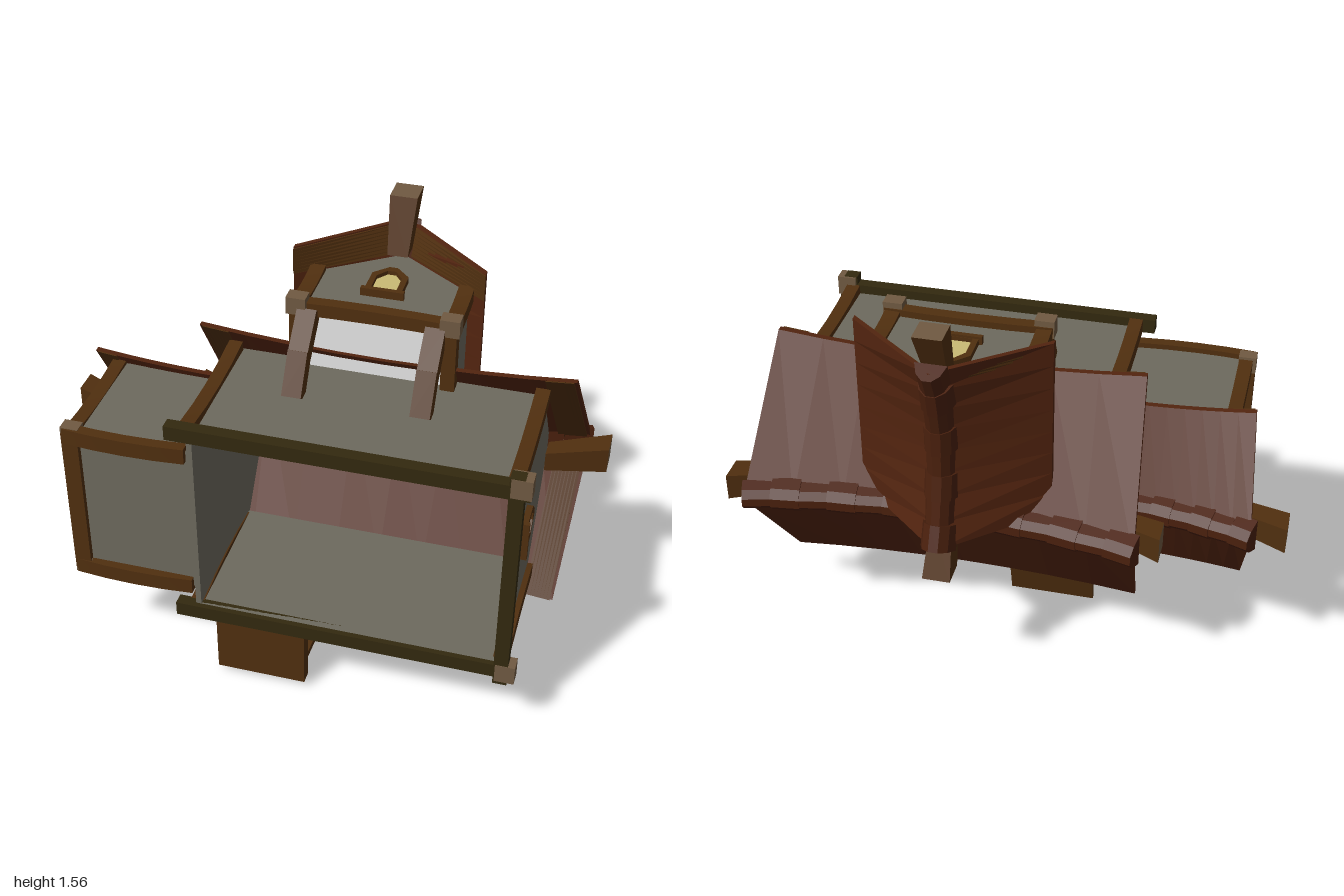
import * as THREE from 'three';

const mat = (name, color, side = THREE.FrontSide) => {
  const m = new THREE.MeshStandardMaterial({ color, side });
  m.name = name;
  return m;
};

// The house is built upright (y up, z depth) and finally laid on its back.
export function createModel() {
  const plaster = mat('plaster', 0x6d6a5e, THREE.DoubleSide);
  const timber = mat('timber', 0x502f0f);
  const darkTimber = mat('dark timber', 0x33290f);
  const tile = mat('roof tile', 0x52240f);
  const capTile = mat('ridge tile', 0x4a200d);
  const block = mat('corner block', 0x705a42);
  const pale = mat('pale floor', 0xf0f0f0);
  const glass = mat('window glass', 0xcabb75);

  const model = new THREE.Group();
  const house = new THREE.Group();
  house.name = 'house';
  house.rotation.x = -Math.PI / 2;
  model.add(house);

  const add = (name, geo, material, parent = house) => {
    const m = new THREE.Mesh(geo, material);
    m.name = name;
    parent.add(m);
    return m;
  };
  const box = (name, material, x, y, z, w, h, d) =>
    add(name, new THREE.BoxGeometry(w, h, d).translate(x, y, z), material);

  // Beam between two points, with optional sideways bow
  const up = new THREE.Vector3(0, 1, 0);
  const beam = (name, material, a, b, w, h, bow = 0) => {
    const p = new THREE.Vector3(...a), q = new THREE.Vector3(...b), len = p.distanceTo(q);
    const g = new THREE.BoxGeometry(w, h, len, 1, 1, bow ? 4 : 1);
    const pos = g.attributes.position;
    for (let i = 0; i < pos.count; i++) {
      const t = pos.getZ(i) / len * 2;
      pos.setY(i, pos.getY(i) + bow * (1 - t * t));
    }
    g.computeVertexNormals();
    const m = add(name, g, material);
    m.position.copy(p).add(q).multiplyScalar(0.5);
    m.quaternion.setFromRotationMatrix(new THREE.Matrix4().lookAt(q, p, up));
  };

  const shapeOf = pts => new THREE.Shape(pts.map(p => new THREE.Vector2(...p)));
  const extrude = (pts, depth) =>
    new THREE.ExtrudeGeometry(shapeOf(pts), { depth, bevelEnabled: false });
  // Prism along x from a (depth, height) outline
  const prismX = (pts, x0, x1) => extrude(pts, x1 - x0).rotateY(-Math.PI / 2).translate(x1, 0, 0);

  // Sagging gable roof lofted along x
  const roof = (name, material, r, t0, t1, drop = 0, parent = house) => {
    const rings = [], n = 8, th = 0.022, v = [];
    for (let i = 0; i <= n; i++) {
      const t = t0 + (t1 - t0) * i / n;
      const w = r.w + r.dw * t * t, h = r.h + r.dh * t * t - drop, e = r.e - drop;
      const xe = r.c + t * r.le, xr = r.c + t * r.lr;
      rings.push([[xe, e, r.z - w], [xr, h, r.z], [xe, e, r.z + w],
        [xe, e - th, r.z + w], [xr, h - th, r.z], [xe, e - th, r.z - w]]);
    }
    const quad = (a, b, c, d) => v.push(...a, ...b, ...c, ...a, ...c, ...d);
    for (let i = 0; i < n; i++) for (let j = 0; j < 6; j++) {
      const k = (j + 1) % 6;
      quad(rings[i][j], rings[i][k], rings[i + 1][k], rings[i + 1][j]);
    }
    const s = rings[0], f = rings[n];
    quad(s[5], s[4], s[1], s[0]); quad(s[4], s[3], s[2], s[1]);
    quad(f[0], f[1], f[4], f[5]); quad(f[1], f[2], f[3], f[4]);
    const g = new THREE.BufferGeometry();
    g.setAttribute('position', new THREE.Float32BufferAttribute(v, 3));
    g.computeVertexNormals();
    add(name, g, material, parent);
  };

  // Overlapping caps that follow the ridge
  const ridge = (r, t0, t1, n, parent = house) => {
    const len = (t1 - t0) * r.lr / n;
    for (let i = 0; i < n; i++) {
      const t = t0 + (t1 - t0) * (i + 0.5) / n, s = i % 2 ? 1 : 1.15;
      const pts = [[-0.055, -0.042], [0.055, -0.042], [0.04, 0.0], [0.015, 0.024], [-0.015, 0.024], [-0.04, 0.0]];
      const m = add('ridgeTile', prismX(pts.map(p => [p[0] * s, p[1] * s]), -len * 0.52, len * 0.52), capTile, parent);
      m.position.set(r.c + t * r.lr, r.h + r.dh * t * t, r.z);
      m.rotation.z = Math.atan(2 * r.dh * t / r.lr) + (i % 2 ? 0.05 : -0.05);
    }
  };

  // Upward sheared ridge pole, flaring to a pale upright end face
  const pole = (x, z, len, y0, y1, turn) => {
    const g = new THREE.BoxGeometry(len, 0.1, 0.1).translate(len / 2, 0, 0);
    const pos = g.attributes.position;
    for (let i = 0; i < pos.count; i++) {
      const outer = pos.getX(i) > len / 2, s = outer ? 1 : 0.75;
      pos.setY(i, pos.getY(i) * s + (outer ? y1 : y0));
      pos.setZ(i, pos.getZ(i) * s);
    }
    g.computeVertexNormals();
    const m = add('ridgePole', g, [block, timber, timber, timber, timber, timber]);
    m.position.set(x, 0, z);
    m.rotation.y = turn;
  };

  // Pointed window, facing +z before turning
  const addWindow = (x, y, z, turn) => {
    const g = new THREE.Group();
    g.name = 'window';
    const arch = (w, b, s, t) => [[-w, b], [w, b], [w, s], [0.015, t], [-0.015, t], [-w, s]];
    const frame = shapeOf(arch(0.066, -0.08, 0.04, 0.092));
    frame.holes.push(new THREE.Path(shapeOf(arch(0.045, -0.065, 0.025, 0.065)).getPoints()));
    add('windowFrame', new THREE.ExtrudeGeometry(frame, { depth: 0.022, bevelEnabled: false }), timber, g);
    add('windowSill', new THREE.BoxGeometry(0.155, 0.018, 0.032).translate(0, -0.076, 0.014), timber, g);
    add('windowGlass', extrude(arch(0.048, -0.068, 0.028, 0.068), 0.007), glass, g);
    g.position.set(x, y, z);
    g.rotation.y = turn;
    house.add(g);
  };

  // Main hall: two gables and two long walls, open underneath
  const gable = [[0.32, -0.52], [1.08, -0.52], [1.08, 0.035], [0.7, 0.325], [0.32, 0.035]];
  add('rightGable', prismX(gable, 0.75, 0.77), plaster);
  add('leftGable', prismX(gable, -0.34, -0.32), plaster);
  for (const z of [0.325, 1.075]) box('longWall', plaster, 0.215, -0.245, z, 1.1, 0.55, 0.015);
  const mainRoof = { c: 0.21, le: 0.67, lr: 0.71, e: 0, w: 0.455, dw: 0.035, h: 0.3, dh: 0.08, z: 0.7 };
  roof('mainRoof', tile, mainRoof, -1, 1);
  roof('eaveLining', timber, mainRoof, 0.84, 0.985, 0.006);
  roof('eaveLining', timber, mainRoof, -0.985, -0.84, 0.006);
  ridge(mainRoof, -1, 1, 14);
  pole(0.78, 0.7, 0.22, 0.2, 0.28, 0);
  pole(-0.36, 0.7, 0.22, 0.2, 0.28, Math.PI);

  // Main hall frame
  for (const z of [0.305, 1.09]) {
    beam('sillBeam', darkTimber, [-0.41, -0.517, z], [0.82, -0.517, z], 0.055, 0.045);
    box('cornerBlock', block, 0.79, -0.517, z < 0.7 ? 0.3 : 1.11, 0.07, 0.055, 0.075);
    for (const x of [-0.34, 0.765])
      beam('cornerPost', timber, [x, -0.5, z], [x, 0.02, z], 0.05, 0.055, z < 0.7 ? -0.018 : 0.018);
  }
  beam('endSill', darkTimber, [0.775, -0.52, 0.25], [0.775, -0.52, 1.15], 0.05, 0.045);
  addWindow(0.77, -0.22, 0.7, Math.PI / 2);

  // Side wing with its own lower roof
  const wing = top => [[0.4, -0.505], [1.0, -0.505], [1.0, -0.06], [0.7, top], [0.4, -0.06]];
  add('wingBody', prismX(wing(0.09), -0.75, -0.34), plaster);
  add('wingGable', prismX(wing(0.145), -0.77, -0.75), plaster);
  const wingRoof = { c: -0.34, le: 0.5, lr: 0.54, e: -0.065, w: 0.325, dw: 0.03, h: 0.115, dh: 0.09, z: 0.7 };
  roof('wingRoof', tile, wingRoof, -1, 0);
  roof('wingEaveLining', timber, wingRoof, -0.985, -0.84, 0.006);
  ridge(wingRoof, -1, -0.2, 6);
  pole(-0.78, 0.7, 0.22, 0.045, 0.125, Math.PI);
  for (const z of [0.41, 0.99]) {
    const s = z < 0.7 ? -1 : 1;
    beam('wingSill', timber, [-0.79, -0.505, z], [-0.35, -0.505, z], 0.06, 0.04, -0.012);
    beam('wingPost', timber, [-0.76, -0.5, z], [-0.76, -0.06, z], 0.05, 0.05, 0.012 * s);
    box('wingBlock', block, -0.765, -0.495, z, 0.065, 0.05, 0.065);
  }
  beam('wingEndSill', timber, [-0.765, -0.505, 0.4], [-0.765, -0.505, 1.0], 0.06, 0.04);
  addWindow(-0.77, -0.22, 0.7, -Math.PI / 2);

  // Overhanging cross gable
  const cross = top => [[-0.11, 0], [0.45, 0], [0.45, 0.235], [0.17, top], [-0.11, 0.235]];
  add('crossBody', extrude(cross(0.39), 0.5).translate(0, 0, 0.8), plaster);
  add('crossGable', extrude(cross(0.435), 0.02).translate(0, 0, 1.3), plaster);
  box('crossFloor', pale, 0.17, -0.003, 1.055, 0.56, 0.006, 0.51);
  const crossRoof = { c: 0, le: 0.35, lr: 0.36, e: 0.23, w: 0.345, dw: 0, h: 0.435, dh: 0.085, z: 0 };
  const turned = new THREE.Group();
  turned.name = 'crossRoofGroup';
  turned.rotation.y = -Math.PI / 2;
  turned.position.set(0.165, 0, 1.07);
  house.add(turned);
  roof('crossRoof', tile, crossRoof, -1, 1, 0, turned);
  roof('crossEaveLining', timber, crossRoof, 0.7, 0.985, 0.006, turned);
  ridge(crossRoof, -1, 1, 8, turned);
  pole(0.165, 1.36, 0.2, 0.385, 0.47, -Math.PI / 2);
  pole(0.165, 0.78, 0.2, 0.385, 0.47, Math.PI / 2);
  beam('crossSill', timber, [-0.13, -0.005, 1.32], [0.47, -0.005, 1.32], 0.05, 0.045, 0.01);
  for (const x of [-0.1, 0.44]) {
    beam('crossPost', timber, [x, 0, 1.315], [x, 0.25, 1.315], 0.055, 0.05, 0.01);
    beam('crossSideSill', timber, [x, -0.01, 1.06], [x, -0.01, 1.33], 0.05, 0.05);
    box('crossBlock', block, x, -0.012, 1.335, 0.07, 0.055, 0.065);
  }
  // Two-part braces under the overhang
  for (const x of [-0.06, 0.39]) {
    beam('brace', timber, [x, -0.21, 1.08], [x, -0.125, 1.215], 0.07, 0.06);
    beam('brace', timber, [x, -0.13, 1.2], [x, -0.015, 1.31], 0.07, 0.06);
  }
  addWindow(0.165, 0.205, 1.32, 0);

  // Porch: step, sloping canopy, posts and door
  box('porchStep', timber, -0.105, -0.485, 0.165, 0.33, 0.05, 0.27);
  beam('porchCanopy', timber, [-0.105, -0.11, 0.3], [-0.105, -0.183, 0.004], 0.33, 0.02);
  for (const x of [-0.24, 0.03]) beam('porchPost', timber, [x, -0.47, 0.07], [x, -0.175, 0.045], 0.025, 0.025);
  box('door', darkTimber, -0.105, -0.31, 0.316, 0.18, 0.3, 0.009);

  // Window with open shutters beside the porch
  addWindow(0.465, -0.22, 0.318, Math.PI);
  for (const s of [-1, 1]) {
    const m = box('shutter', darkTimber, 0, 0, 0, 0.009, 0.16, 0.13);
    m.position.set(0.465 + s * 0.085, -0.22, 0.245);
    m.rotation.y = s < 0 ? -0.2 : 0.2;
  }
  return model;
}
